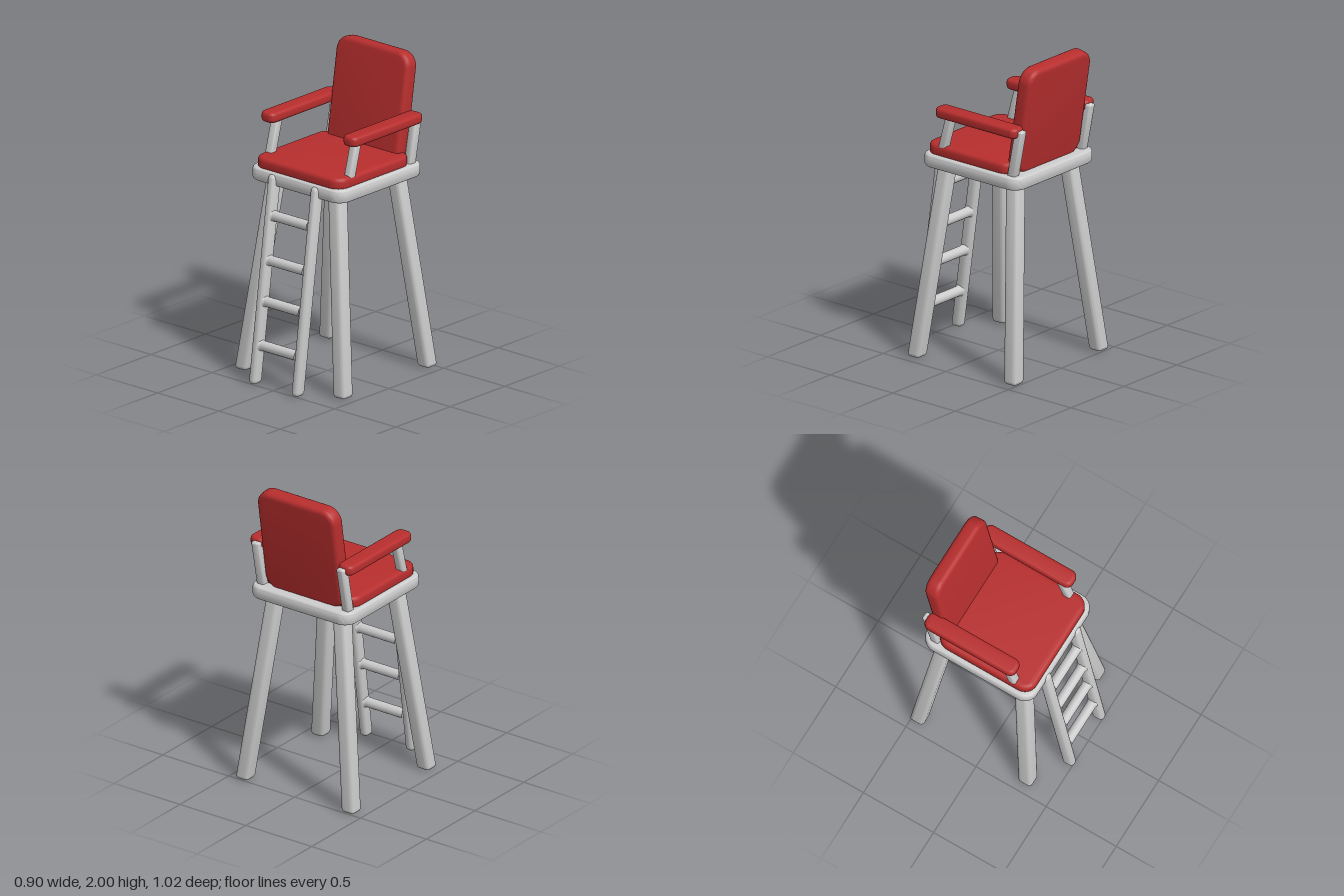
import * as THREE from 'three';
import { toCreasedNormals } from 'three/addons/utils/BufferGeometryUtils.js';
import { RoundedBoxGeometry } from 'three/addons/geometries/RoundedBoxGeometry.js';

// Rounded rectangle of w x h with corner radius r, given a soft-edged thickness t along z
function slab(w, h, t, r, bevel) {
  const x = w / 2 - bevel, y = h / 2 - bevel, c = r - bevel;
  const s = new THREE.Shape();
  s.moveTo(-x + c, -y);
  s.lineTo(x - c, -y);
  s.absarc(x - c, -y + c, c, -Math.PI / 2, 0);
  s.absarc(x - c, y - c, c, 0, Math.PI / 2);
  s.absarc(-x + c, y - c, c, Math.PI / 2, Math.PI);
  s.absarc(-x + c, -y + c, c, Math.PI, Math.PI * 1.5);
  const geo = new THREE.ExtrudeGeometry(s, {
    depth: t - 2 * bevel, bevelThickness: bevel, bevelSize: bevel, bevelSegments: 4, curveSegments: 6,
  });
  geo.translate(0, 0, -t / 2 + bevel);
  return toCreasedNormals(geo, 0.7);
}

// Rounded bar from point a up to point b, slanted by shearing so its section stays square to the axes
function slantedBar(a, b, w, d, r) {
  const h = b[1] - a[1];
  const geo = new RoundedBoxGeometry(w, h, d, 3, r);
  const p = geo.attributes.position;
  for (let i = 0; i < p.count; i++) {
    const t = p.getY(i) / h + 0.5;
    p.setXYZ(i,
      p.getX(i) + a[0] + (b[0] - a[0]) * t,
      a[1] + h * t,
      p.getZ(i) + a[2] + (b[2] - a[2]) * t);
  }
  return toCreasedNormals(geo, 0.7);
}

export function createModel() {
  const group = new THREE.Group();
  const red = new THREE.MeshStandardMaterial({ color: 0xb82e2e });
  red.name = 'red cushion';
  const grey = new THREE.MeshStandardMaterial({ color: 0xcccccc });
  grey.name = 'light grey frame';

  const add = (name, geo, mat, x = 0, y = 0, z = 0) => {
    const mesh = new THREE.Mesh(geo, mat);
    mesh.name = name;
    mesh.position.set(x, y, z);
    group.add(mesh);
    return mesh;
  };

  // Seat frame and cushion
  const flat = (...args) => slab(...args).rotateX(-Math.PI / 2);
  add('seatFrame', flat(0.77, 0.785, 0.085, 0.09, 0.022), grey, 0, 1.277, -0.078);
  add('seatCushion', flat(0.71, 0.675, 0.08, 0.085, 0.025), red, 0, 1.345, -0.043);

  // Reclined back cushion
  const back = add('backCushion', slab(0.59, 0.7, 0.1, 0.095, 0.028), red, 0, 1.653, -0.405);
  back.rotation.x = -0.155;

  for (const side of [1, -1]) {
    const label = side > 0 ? 'left' : 'right';

    // Armrest and its two posts
    add(label + 'Armrest', flat(0.11, 0.645, 0.065, 0.042, 0.02), red, side * 0.335, 1.607, -0.128);
    add(label + 'FrontArmPost',
      slantedBar([side * 0.323, 1.29, 0.185], [side * 0.323, 1.6, 0.1], 0.055, 0.058, 0.014), grey);
    add(label + 'RearArmPost',
      slantedBar([side * 0.323, 1.29, -0.385], [side * 0.323, 1.62, -0.45], 0.056, 0.06, 0.014), grey);

    // Splayed legs
    add(label + 'FrontLeg',
      slantedBar([side * 0.403, 0.003, 0.312], [side * 0.247, 1.28, 0.187], 0.096, 0.096, 0.024), grey);
    add(label + 'RearLeg',
      slantedBar([side * 0.403, 0.003, -0.462], [side * 0.247, 1.28, -0.345], 0.096, 0.096, 0.024), grey);

    // Ladder rail
    add(label + 'LadderRail',
      slantedBar([side * 0.174, 0, 0.472], [side * 0.174, 1.31, 0.29], 0.06, 0.08, 0.027), grey);
  }

  // Ladder rungs, flared where they meet the rails
  const profile = [[0.04, -0.15], [0.035, -0.144], [0.032, -0.135], [0.032, 0.135], [0.035, 0.144], [0.04, 0.15]]
    .map(([r, y]) => new THREE.Vector2(r, y));
  const rung = new THREE.LatheGeometry(profile, 16).rotateZ(Math.PI / 2);
  [0.243, 0.517, 0.774, 1.052].forEach((y, i) =>
    add('ladderRung' + (i + 1), rung, grey, 0, y, 0.472 - (0.182 * y) / 1.31));

  return group;
}
